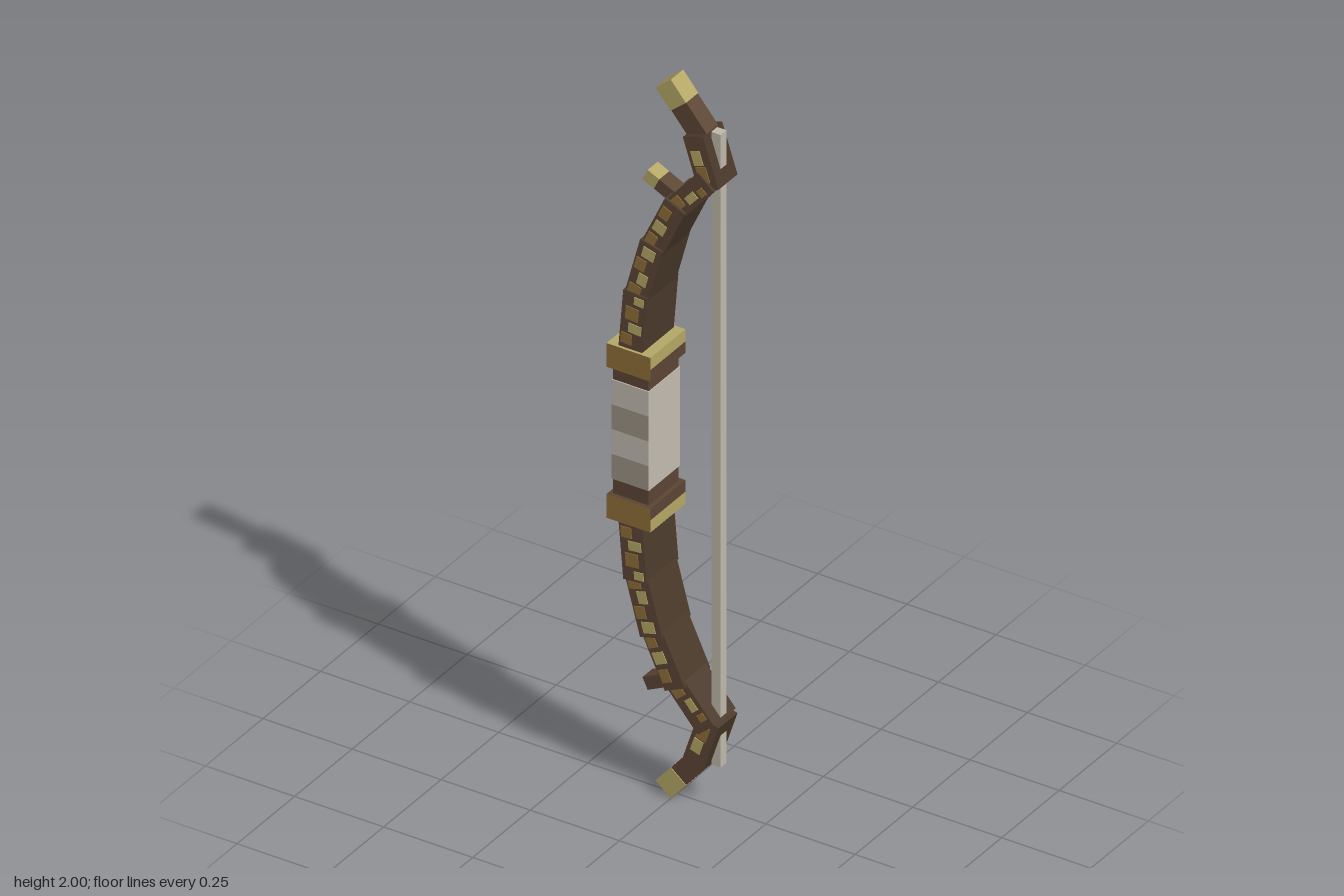
import * as THREE from 'three';

const mat = (name, color) => {
  const m = new THREE.MeshStandardMaterial({ color });
  m.name = name;
  return m;
};

export function createModel() {
  const wood = mat('brown wood', 0x5c4534);
  const darkWood = mat('dark wood', 0x4b3a2b);
  const gold = mat('pale gold', 0xb5a766);
  const darkGold = mat('dark gold', 0x8f6f38);
  const wrap = mat('pale wrap', 0xc2bbb0);
  const wrapDark = mat('shaded wrap', 0x9c9284);
  const cord = mat('cord', 0xbfb9aa);

  const bow = new THREE.Group();
  bow.name = 'bow';

  const box = (parent, name, w, h, d, x, y, z, material) => {
    const m = new THREE.Mesh(new THREE.BoxGeometry(w, h, d), material);
    m.name = name;
    m.position.set(x, y, z);
    parent.add(m);
    return m;
  };

  // Group whose local y runs from a to b; s = -1 mirrors it to the lower half
  const bar = (name, a, b, s) => {
    const g = new THREE.Group();
    const dx = b[0] - a[0], dy = (b[1] - a[1]) * s;
    g.name = name;
    g.position.set(a[0], 1 + (a[1] - 1) * s, 0);
    g.rotation.z = Math.atan2(-dx, dy);
    g.userData.length = Math.hypot(dx, dy);
    bow.add(g);
    return g;
  };

  // Grip: wooden core with a wrap, striped on the front
  box(bow, 'gripCore', 0.1, 0.4, 0.13, -0.087, 1, 0, wood);
  for (let i = 0; i < 4; i++) {
    const stripe = i % 2 ? wrap : wrapDark;
    box(bow, 'gripWrap', 0.104, 0.069, 0.136, -0.087, 0.899 + i * 0.069, 0,
      [wrap, wrap, wrap, wrap, stripe, wrap]);
  }

  // Limb segments: start, end, thickness, depth
  const segments = [
    [[-0.088, 1.22], [-0.073, 1.40], 0.066, 0.138],
    [[-0.075, 1.385], [-0.032, 1.545], 0.064, 0.125],
    [[-0.036, 1.53], [0.03, 1.672], 0.062, 0.111],
    [[0.018, 1.652], [0.112, 1.762], 0.06, 0.095],
    [[0.115, 1.74], [0.072, 1.872], 0.06, 0.083],
  ];
  // Flecks per segment: along 0..1, across -0.5..0.5, length, width
  const flecks = [
    [[0.27, -0.2, 0.16, 0.5], [0.46, 0.12, 0.14, 0.6], [0.68, -0.05, 0.2, 0.6], [0.9, 0.2, 0.12, 0.45]],
    [[0.14, -0.15, 0.16, 0.6], [0.36, 0.05, 0.2, 0.45], [0.6, -0.2, 0.2, 0.5], [0.84, 0.0, 0.18, 0.6]],
    [[0.18, -0.2, 0.2, 0.5], [0.46, -0.12, 0.2, 0.6], [0.76, -0.2, 0.22, 0.5]],
    [[0.22, -0.1, 0.2, 0.6], [0.52, 0.1, 0.24, 0.4], [0.78, 0.2, 0.14, 0.4]],
    [[0.28, -0.05, 0.3, 0.55], [0.6, -0.1, 0.28, 0.5]],
  ];

  for (const s of [1, -1]) {
    // Stepped collar: gold outer half, inner half gold only on the front
    box(bow, 'collarRim', 0.123, 0.034, 0.153, -0.0865, 1 + s * 0.226, 0,
      [gold, wood, gold, gold, darkGold, gold]);
    box(bow, 'collarBase', 0.123, 0.032, 0.153, -0.0865, 1 + s * 0.193, 0,
      [wood, wood, wood, wood, darkGold, wood]);

    // Limb tapering in steps, flecked on both narrow sides
    segments.forEach(([a, b, t, d], i) => {
      const g = bar('limbSegment', a, b, s);
      const L = g.userData.length;
      box(g, 'limbWood', t, L, d, 0, L / 2, 0, [darkWood, darkWood, darkWood, darkWood, wood, wood]);
      flecks[i].forEach(([u, v, h, w], k) =>
        box(g, 'fleck', t * w * 0.9, L * h, d + 0.004, v * t * s, L * u, 0, k % 2 ? gold : darkGold));
    });

    // Hooked limb tip with a gold end
    const tip = bar('limbTip', [0.08, 1.862], [-0.021, 1.982], s);
    const T = tip.userData.length, cap = 0.066;
    box(tip, 'tipWood', 0.055, T - cap, 0.05, 0, (T - cap) / 2, 0, wood);
    box(tip, 'tipCap', 0.056, cap, 0.054, 0, T - cap / 2, 0, gold);

    // Side twig; only the upper one is gold-ended
    const twig = bar('twig', [0.02, 1.662], [-0.075, 1.708], s);
    const W = twig.userData.length;
    box(twig, 'twigWood', 0.034, W - 0.036, 0.044, 0, (W - 0.036) / 2, 0, wood);
    box(twig, 'twigEnd', 0.034, 0.036, 0.044, 0, W - 0.018, 0, s > 0 ? gold : wood);
  }

  // Bowstring
  box(bow, 'bowstring', 0.026, 1.76, 0.026, 0.118, 1.003, 0, cord);

  return bow;
}
